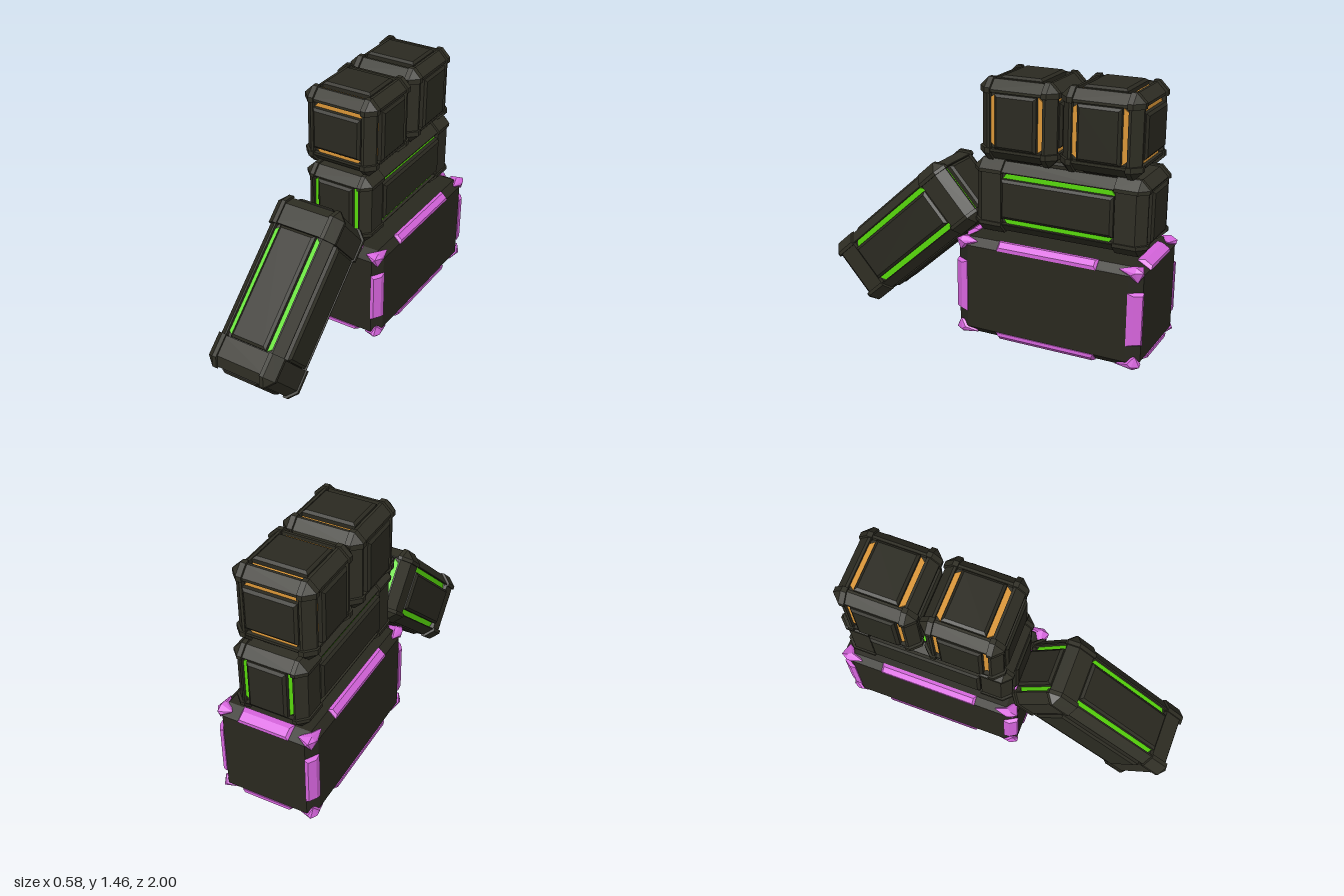
import * as THREE from 'three';
import { ConvexGeometry } from 'three/addons/geometries/ConvexGeometry.js';

const material = (name, color) => {
  const m = new THREE.MeshStandardMaterial({ color });
  m.name = name;
  return m;
};

// Point given by value on three named axes (0 = x, 1 = y, 2 = z)
function point(a, va, b, vb, c, vc) {
  const p = [0, 0, 0];
  p[a] = va; p[b] = vb; p[c] = vc;
  return new THREE.Vector3(...p);
}

function addHull(group, name, points, mat) {
  const mesh = new THREE.Mesh(new ConvexGeometry(points), mat);
  mesh.name = name;
  group.add(mesh);
}

const SIGNS = [-1, 1];
const EDGES = [[0, 1, 2], [1, 2, 0], [2, 0, 1]]; // running axis, then the two cross axes
function eachCorner(fn) {
  for (const x of SIGNS) for (const y of SIGNS) for (const z of SIGNS) fn([x, y, z]);
}

// Box with every edge and corner cut, each axis with its own cut size
function cutBoxPoints(h, c) {
  const pts = [];
  eachCorner((s) => {
    for (let n = 0; n < 3; n++) {
      const p = h.map((v, i) => s[i] * (i === n ? v : v - c[i]));
      pts.push(new THREE.Vector3(...p));
    }
  });
  return pts;
}

// Framed container: h = half size, hole = half size of the face openings,
// runs = for each face axis, the axis its accent bars run along
function container(name, h, hole, runs, accent, dark, panelMat) {
  const g = new THREE.Group();
  g.name = name;
  const depth = 0.035, cut = 0.05, inset = 0.01, barWidth = 0.033;

  const core = new THREE.Mesh(new THREE.BoxGeometry(...h.map((v) => 2 * (v - depth))), dark);
  core.name = 'core';
  g.add(core);

  // Chamfered beams along the twelve edges
  for (const [k, i, j] of EDGES) for (const si of SIGNS) for (const sj of SIGNS) {
    const pts = [], hi = h[i] - inset, hj = h[j] - inset;
    const section = [[hole[i], hole[j]], [hole[i], hj], [hi - cut, hj], [hi, hj - cut], [hi, hole[j]]];
    for (const e of SIGNS) for (const [a, b] of section)
      pts.push(point(k, e * (hole[k] + 0.02), i, si * a, j, sj * b));
    addHull(g, 'frameBeam', pts, dark);
  }

  // Raised corner guards
  eachCorner((s) => {
    const half = h.map((v, i) => (v - hole[i] + 0.005) / 2);
    const mid = h.map((v, i) => s[i] * (v - half[i]));
    const pts = [];
    // inner sides stay square, outer sides are cut
    for (let n = 0; n < 3; n++) {
      const a = (n + 1) % 3, b = (n + 2) % 3;
      for (const ea of [0, 1]) for (const eb of [0, 1]) {
        const va = ea ? h[a] - cut : Math.abs(mid[a]) - half[a];
        const vb = eb ? h[b] - cut : Math.abs(mid[b]) - half[b];
        pts.push(point(n, s[n] * h[n], a, s[a] * va, b, s[b] * vb));
        pts.push(point(n, s[n] * (h[n] - depth), a, s[a] * va, b, s[b] * vb));
      }
    }
    addHull(g, 'cornerGuard', pts, dark);
  });

  // Raised panel and a pair of accent bars on every face
  for (let n = 0; n < 3; n++) {
    const u = runs[n], v = 3 - n - u;
    const pu = hole[u] - 0.004, pv = hole[v] - barWidth;
    for (const s of SIGNS) {
      const floor = h[n] - depth;
      const panel = [];
      for (const eu of SIGNS) for (const ev of SIGNS) {
        panel.push(point(n, s * (floor - 0.01), u, eu * pu, v, ev * pv));
        panel.push(point(n, s * (h[n] - 0.006), u, eu * pu, v, ev * pv));
        panel.push(point(n, s * (h[n] + 0.006), u, eu * (pu - 0.015), v, ev * (pv - 0.015)));
      }
      addHull(g, 'facePanel', panel, panelMat);
      for (const ev of SIGNS) {
        const bar = [];
        for (const eu of SIGNS) for (const top of [-0.002, 0.007]) {
          bar.push(point(n, s * (floor + top), u, eu * pu, v, ev * pv));
          bar.push(point(n, s * (floor + top), u, eu * (pu - 0.026), v, ev * hole[v]));
        }
        addHull(g, 'accentBar', bar, accent);
      }
    }
  }
  return g;
}

// Plain case with coloured edge strips and corner caps
function baseCase(dark, accent) {
  const g = new THREE.Group();
  g.name = 'baseCase';
  const h = [0.284, 0.284, 0.54], c = [0.04, 0.04, 0.07];
  const stripHalf = [0.15, 0.15, 0.29], capReach = [0.09, 0.075, 0.13], out = 0.006;
  addHull(g, 'caseBody', cutBoxPoints(h, c), dark);

  for (const [k, i, j] of EDGES) for (const si of SIGNS) for (const sj of SIGNS) {
    const pts = [];
    const section = [
      [h[i] + out, h[j] - c[j], 0], [h[i] - c[i], h[j] + out, 0],
      [h[i] + out, h[j] - 0.5 * c[j], 0.012], [h[i] - 0.5 * c[i], h[j] + out, 0.012],
      [h[i] - c[i], h[j] - c[j], 0],
    ];
    for (const e of SIGNS) for (const [a, b, taper] of section)
      pts.push(point(k, e * (stripHalf[k] - taper), i, si * a, j, sj * b));
    addHull(g, 'edgeStrip', pts, accent);
  }

  eachCorner((s) => {
    const pts = [];
    for (let n = 0; n < 3; n++) {
      const face = h.map((v, i) => s[i] * (i === n ? v + out : v - 0.8 * c[i]));
      const tip = h.map((v, i) => s[i] * (i === n ? v - capReach[i] : v - 0.3 * c[i]));
      const ridge = h.map((v, i) => s[i] * (i === n ? v + out : v + out - 0.55 * c[i]));
      pts.push(...[face, tip, ridge].map((p) => new THREE.Vector3(...p)));
    }
    pts.push(new THREE.Vector3(...h.map((v, i) => s[i] * (v - 1.2 * c[i]))));
    addHull(g, 'cornerCap', pts, accent);
  });
  return g;
}

export function createModel() {
  const model = new THREE.Group();
  model.name = 'containerStack';
  const frame = material('frameOlive', 0x2f2e24);
  const panel = material('panelOlive', 0x2b2a21);
  const caseDark = material('caseOlive', 0x29281f);
  const green = material('greenAccent', 0x58da0c);
  const amber = material('amberAccent', 0xdd9838);
  const violet = material('violetAccent', 0xd765de);

  const base = baseCase(caseDark, violet);
  base.position.set(0, 0.308, -0.455);
  model.add(base);

  // Two long containers: one lying on the case, one leaning in front
  const longBox = (name) =>
    container(name, [0.214, 0.21, 0.507], [0.145, 0.145, 0.33], [2, 2, 1], green, frame, panel);
  const lying = longBox('longContainer');
  lying.position.set(-0.024, 0.815, -0.465);
  const leaning = longBox('leaningContainer');
  leaning.position.set(-0.024, 0.482, 0.515);
  leaning.rotation.x = THREE.MathUtils.degToRad(42);
  model.add(lying, leaning);

  // Two cubes on top
  for (const z of [-0.223, -0.697]) {
    const cube = container('cubeContainer', [0.23, 0.23, 0.23], [0.155, 0.155, 0.155], [1, 0, 0], amber, frame, panel);
    cube.position.set(-0.038, 1.245, z);
    model.add(cube);
  }
  return model;
}
